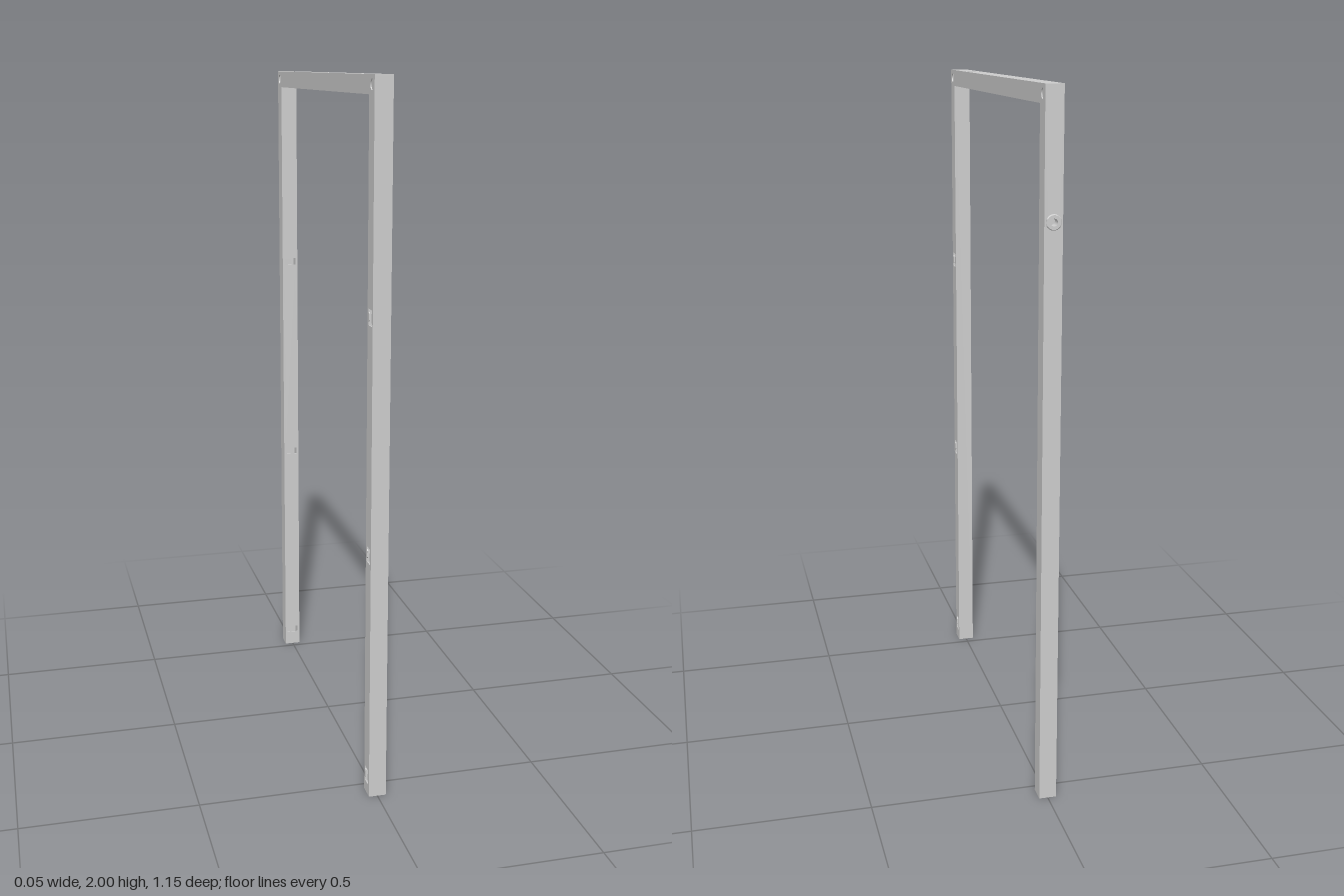
import * as THREE from 'three';
import { toCreasedNormals } from 'three/addons/utils/BufferGeometryUtils.js';

const H = 2;          // frame height
const W = 0.05;       // square tube width
const T = 0.003;      // tube wall
const ZF = 0.574;     // outer face of the front leg
const ZB = -0.569;    // outer face of the back leg
const SLOTS = [0.055, 0.72, 1.38];
const NUT_Y = 1.655;

const grey = new THREE.MeshStandardMaterial({ color: 0xcccccc });
const brass = new THREE.MeshStandardMaterial({ color: 0xb8901c });

const polygon = (pts) => new THREE.Shape(pts.map(([x, y]) => new THREE.Vector2(x, y)));
const rect = (x0, y0, x1, y1) => polygon([[x0, y0], [x1, y0], [x1, y1], [x0, y1]]);
const round = (x, y, r) => new THREE.Path().absarc(x, y, r, 0, Math.PI * 2, true);

// Slot with a narrowed waist
function waistedSlot(cx, cy) {
  const w = 0.016, n = 0.011, h = 0.022, k = 0.009;
  return polygon([
    [-w, -h], [w, -h], [w, -h + 0.009], [n, -k], [n, k], [w, h - 0.009],
    [w, h], [-w, h], [-w, h - 0.009], [-n, k], [-n, -k], [-w, -h + 0.009],
  ].map(([x, y]) => [x + cx, y + cy]));
}

function plate(name, shape, holes = [], depth = T, material = grey) {
  shape.holes.push(...holes);
  const geometry = new THREE.ExtrudeGeometry(shape, { depth, bevelEnabled: false, curveSegments: 24 });
  const mesh = new THREE.Mesh(geometry, material);
  mesh.name = name;
  return mesh;
}

export function createModel() {
  const model = new THREE.Group();
  model.name = 'tubeFrame';
  const xi = W / 2 - T;

  // Side walls: one U-shaped sheet on each side of the tube
  for (const [name, x] of [['leftSideWall', W / 2], ['rightSideWall', -W / 2 + T]]) {
    const outline = polygon([
      [ZB, 0], [ZB + W, 0], [ZB + W, H - W], [ZF - W, H - W],
      [ZF - W, 0], [ZF, 0], [ZF, H], [ZB, H],
    ]);
    const holes = [
      round(ZF - W / 2, H - W / 2, 0.014),
      round(ZB + W / 2, H - W / 2, 0.014),
      ...SLOTS.map((y) => waistedSlot(ZF - W / 2, y)),
    ];
    const wall = plate(name, outline, holes);
    wall.rotation.y = -Math.PI / 2;
    wall.position.x = x;
    model.add(wall);
  }

  // Leg walls facing front and back
  const addLegWall = (name, z, top, holes) => {
    const wall = plate(name, rect(-xi, 0, xi, top), holes);
    wall.position.z = z;
    model.add(wall);
  };
  addLegWall('frontLegOuterWall', ZF - T, H - T);
  addLegWall('frontLegInnerWall', ZF - W, H - W + T);
  addLegWall('backLegOuterWall', ZB, H - T, [round(0, NUT_Y, 0.015)]);
  addLegWall('backLegInnerWall', ZB + W - T, H - W + T,
    SLOTS.map((y) => rect(-0.019, y - 0.011, 0.019, y + 0.011)));

  // Top and underside of the crossbar
  for (const [name, y, inset] of [['crossbarTop', H, 0], ['crossbarUnderside', H - W + T, W]]) {
    const wall = plate(name, rect(-xi, ZB + inset, xi, ZF - inset),
      [-0.383, 0.383].map((z) => round(0, z, 0.014)));
    wall.rotation.x = Math.PI / 2;
    wall.position.y = y;
    model.add(wall);
  }

  // Flanged threaded insert in the back leg
  const profile = [
    [0.01, -0.025], [0.0145, -0.025], [0.0145, 0], [0.021, 0],
    [0.021, 0.003], [0.019, 0.005], [0.01, 0.005], [0.01, -0.025],
  ].map(([r, y]) => new THREE.Vector2(r, y));
  const insert = new THREE.Mesh(
    toCreasedNormals(new THREE.LatheGeometry(profile, 32), 0.6), grey);
  insert.name = 'threadedInsert';
  insert.rotation.x = -Math.PI / 2;
  insert.position.set(0, NUT_Y, ZB);
  model.add(insert);

  // Pierced end plugs under the legs
  for (const [name, z] of [['frontFootPlug', ZF - W / 2], ['backFootPlug', ZB + W / 2]]) {
    const plug = plate(name, rect(-xi, -xi, xi, xi), [round(0, 0, 0.008)], 0.006, brass);
    plug.rotation.x = Math.PI / 2;
    plug.position.set(0, 0.006, z);
    model.add(plug);
  }

  return model;
}
